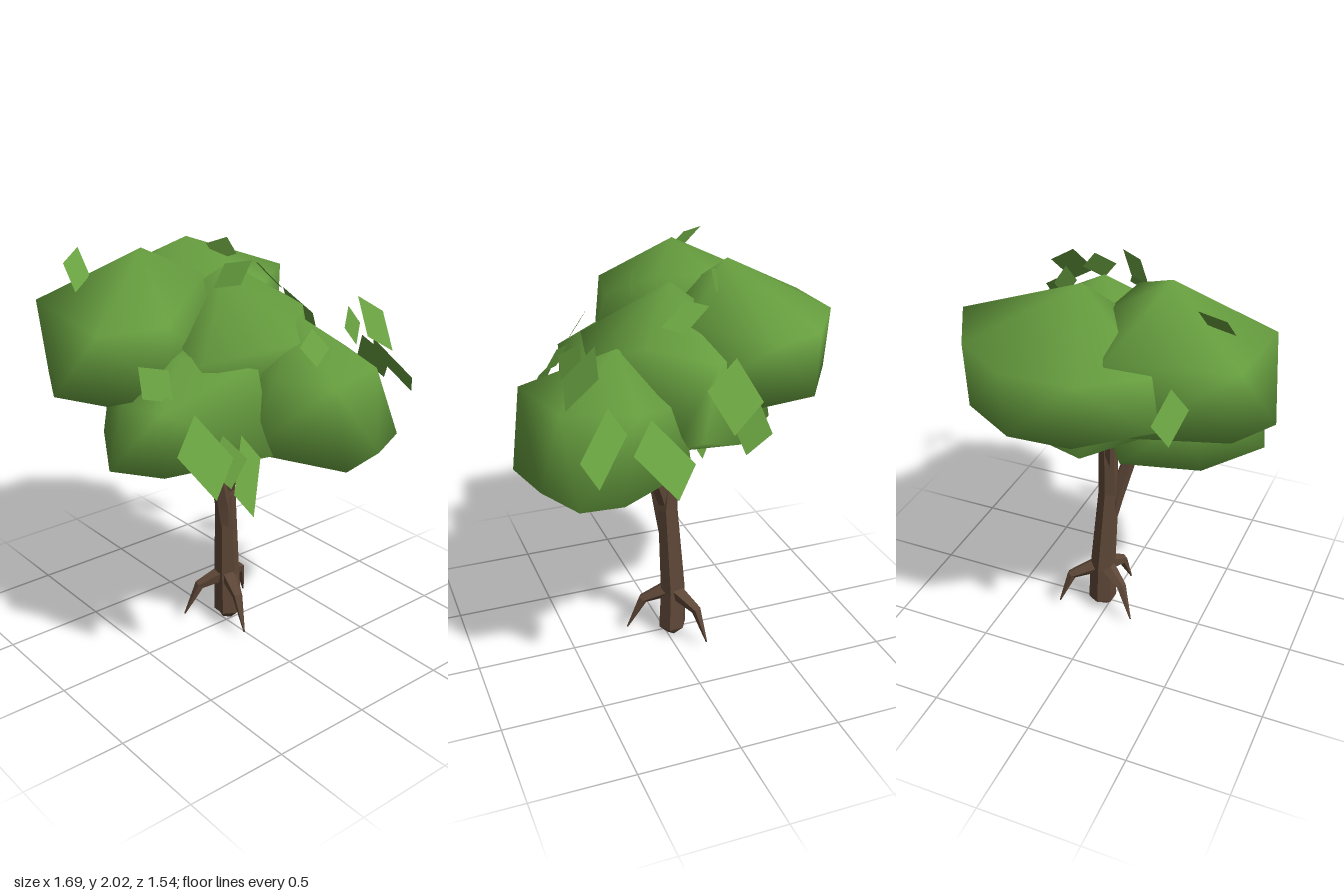
import * as THREE from 'three';
import { mergeVertices } from 'three/addons/utils/BufferGeometryUtils.js';
import { ConvexGeometry } from 'three/addons/geometries/ConvexGeometry.js';

// Angular foliage clump: hull of a few corners with smooth normals
function clump(name, points, material) {
  let geo = new ConvexGeometry(points.map(p => new THREE.Vector3(...p)));
  geo.deleteAttribute('normal');
  geo = mergeVertices(geo, 1e-4);
  geo.computeVertexNormals();
  const mesh = new THREE.Mesh(geo, material);
  mesh.name = name;
  return mesh;
}

// Tapered faceted limb through stations [x, y, z, radius]
function limb(name, stations, sides, material) {
  const centres = stations.map(s => new THREE.Vector3(s[0], s[1], s[2]));
  const up = new THREE.Vector3(0, 1, 0);
  const last = stations.length - 1;
  const rings = stations.map((s, i) => {
    const dir = centres[Math.min(i + 1, last)].clone().sub(centres[Math.max(i - 1, 0)]).normalize();
    const q = new THREE.Quaternion().setFromUnitVectors(up, dir);
    return Array.from({ length: sides }, (_, k) => {
      const a = (k / sides) * Math.PI * 2;
      return new THREE.Vector3(Math.sin(a) * s[3], 0, Math.cos(a) * s[3]).applyQuaternion(q).add(centres[i]);
    });
  });
  const tris = [];
  for (let k = 0; k < sides; k++) {
    const n = (k + 1) % sides;
    for (let i = 0; i < last; i++) {
      const a = rings[i][k], b = rings[i][n], c = rings[i + 1][n], d = rings[i + 1][k];
      tris.push(a, b, c, a, c, d);
    }
    tris.push(centres[0], rings[0][n], rings[0][k], centres[last], rings[last][k], rings[last][n]);
  }
  const geo = new THREE.BufferGeometry().setFromPoints(tris);
  geo.computeVertexNormals();
  const mesh = new THREE.Mesh(geo, material);
  mesh.name = name;
  return mesh;
}

// Loose leaf: flat rhombus from a centre and two half diagonals
function leaf(c, u, v, material) {
  const at = (d, s) => new THREE.Vector3(...c).addScaledVector(new THREE.Vector3(...d), s);
  const geo = new THREE.BufferGeometry().setFromPoints([at(u, 1), at(v, 1), at(u, -1), at(v, -1)]);
  geo.setIndex([0, 1, 2, 0, 2, 3]);
  geo.computeVertexNormals();
  const mesh = new THREE.Mesh(geo, material);
  mesh.name = 'leaf';
  return mesh;
}

export function createModel() {
  const bark = new THREE.MeshStandardMaterial({ color: 0x5f4838 });
  bark.name = 'bark brown';
  const green = new THREE.MeshStandardMaterial({ color: 0x68a040, side: THREE.DoubleSide });
  green.name = 'leaf green';
  const tree = new THREE.Group();
  tree.name = 'tree';

  // Trunk, branches and roots
  tree.add(limb('trunk', [[0.035, 0.005, -0.045, 0.045], [0.035, 0.035, -0.03, 0.073], [0.03, 0.25, -0.035, 0.066],
    [0.005, 0.72, -0.015, 0.052], [-0.005, 1.06, -0.05, 0.046], [-0.005, 1.1, -0.06, 0.056], [-0.005, 1.13, -0.06, 0.045]], 6, bark));
  const branches = [
    [[0.0, 0.52, -0.01, 0.03], [-0.025, 0.68, 0.0, 0.042], [-0.14, 1.09, 0.05, 0.03]],
    [[0.0, 0.7, -0.01, 0.025], [0.015, 0.82, 0.02, 0.04], [0.1, 1.12, 0.14, 0.03]],
    [[0.0, 0.8, -0.03, 0.02], [-0.03, 1.08, -0.09, 0.025]],
  ];
  branches.forEach(b => tree.add(limb('branch', b, 5, bark)));
  const roots = [
    [[0.02, 0.25, -0.01, 0.045], [-0.02, 0.19, 0.115, 0.027], [-0.04, 0.02, 0.195, 0.004]],
    [[0.05, 0.25, -0.04, 0.045], [0.18, 0.19, -0.11, 0.027], [0.235, 0.02, -0.145, 0.004]],
    [[0.01, 0.25, -0.04, 0.045], [-0.1, 0.19, -0.1, 0.027], [-0.17, 0.02, -0.14, 0.004]],
  ];
  roots.forEach(r => tree.add(limb('root', r, 5, bark)));

  // Foliage clumps: top, bottom, then upper and lower corners
  tree.add(clump('frontClump', [
    [0.2, 1.68, 0.3], [0.2, 0.97, 0.31],
    [0.02, 1.49, 0.715], [0.38, 1.48, 0.62], [0.5, 1.48, 0.3], [0.38, 1.45, 0.05], [0.0, 1.5, 0.08], [-0.11, 1.48, 0.47],
    [0.06, 1.1, 0.77], [0.33, 1.1, 0.71], [0.57, 1.1, 0.6], [0.585, 1.1, 0.4], [0.53, 1.2, 0.07], [0.15, 1.08, -0.03],
    [-0.18, 1.13, 0.38],
  ], green));
  tree.add(clump('lowerRightClump', [
    [-0.28, 1.62, 0.1], [-0.26, 0.96, 0.05],
    [-0.44, 1.59, 0.2], [-0.64, 1.42, 0.35], [-0.1, 1.53, 0.34], [-0.67, 1.4, 0.1], [-0.5, 1.4, -0.25], [-0.1, 1.4, -0.3],
    [0.1, 1.4, 0],
    [-0.63, 1.12, 0.35], [-0.12, 1.13, 0.48], [-0.75, 1.1, 0.1], [-0.55, 1.13, -0.25], [-0.19, 1.13, -0.34], [0.12, 1.1, 0.1],
  ], green));
  tree.add(clump('upperRightClump', [
    [-0.36, 2.0, -0.17], [-0.4, 1.38, -0.17],
    [-0.76, 1.77, -0.44], [-0.77, 1.72, 0.08], [-0.45, 1.72, 0.15], [-0.14, 1.88, 0.0], [-0.1, 1.86, -0.3], [-0.23, 1.79, -0.62],
    [-0.855, 1.4, -0.165], [-0.75, 1.41, 0.11], [-0.5, 1.43, 0.2], [-0.15, 1.45, 0.15], [0, 1.42, -0.2], [-0.28, 1.43, -0.58],
    [-0.73, 1.42, -0.42],
  ], green));
  tree.add(clump('backClump', [
    [0, 1.98, -0.31], [0.1, 1.37, -0.35],
    [0.6, 1.755, -0.3], [0.45, 1.73, -0.58], [0.18, 1.74, -0.77], [-0.16, 1.74, -0.76], [-0.42, 1.74, -0.56],
    [-0.25, 1.76, -0.15], [0.25, 1.78, -0.02],
    [0.52, 1.44, -0.27], [0.44, 1.42, -0.57], [0.15, 1.44, -0.765], [-0.14, 1.44, -0.75], [-0.46, 1.5, -0.58],
    [-0.35, 1.42, -0.2], [0.3, 1.42, 0.02],
  ], green));
  tree.add(clump('middleClump', [
    [0.02, 1.9, -0.02], [0.15, 1.19, -0.2],
    [-0.38, 1.62, 0.17], [-0.38, 1.57, 0.3], [0.1, 1.6, 0.41], [0.3, 1.7, 0.2], [0.47, 1.65, -0.08], [0.2, 1.6, -0.4],
    [-0.25, 1.6, -0.35],
    [0.5, 1.3, 0], [0.45, 1.24, -0.2], [0.22, 1.25, -0.45], [-0.08, 1.25, -0.54], [-0.3, 1.3, -0.35], [-0.3, 1.3, 0.2],
    [0.1, 1.25, 0.35], [0.47, 1.27, 0.13],
  ], green));

  // Leaves hanging clear of the clumps
  const hanging = [
    [[0.73, 1.37, 0.27], [0.11, -0.14, -0.02], [-0.02, 0.03, 0.13]],
    [[0.62, 1.41, 0.5], [0.09, -0.14, 0.05], [-0.02, 0.04, -0.11]],
    [[0.44, 1.66, 0.54], [0.04, -0.12, 0.08], [0.1, 0.03, -0.05]],
    [[0.58, 1.54, -0.11], [0.09, -0.14, 0.04], [-0.03, 0.03, 0.12]],
    [[0.56, 1.38, -0.2], [0.02, -0.13, 0.03], [0.01, 0.06, 0.11]],
    [[-0.52, 1.24, 0.5], [0.02, 0.16, -0.1], [0.12, -0.02, 0.04]],
    [[-0.41, 1.19, 0.51], [0.01, 0.11, -0.04], [0.08, 0.01, 0.04]],
    [[-0.32, 1.11, 0.54], [-0.03, -0.16, 0.08], [0.1, 0.05, -0.03]],
  ];
  // Leaves lying on or near the clumps
  const resting = [
    [[-0.07, 1.89, 0.13], [0.08, 0.06, 0.04], [0.03, -0.05, 0.02]],
    [[0.06, 1.62, 0.54], [-0.03, -0.07, 0.05], [0.07, -0.01, 0.02]],
    [[0.29, 1.68, 0.54], [0.01, 0.08, -0.04], [0.08, -0.01, -0.03]],
    [[0.13, 1.92, -0.2], [0.07, -0.03, 0.03], [0.01, 0.06, 0.03]],
    [[0.26, 1.81, 0], [0.01, 0.04, -0.11], [0.05, -0.06, 0.02]],
    [[-0.61, 1.91, -0.32], [0.06, 0.08, -0.08], [0.05, -0.03, 0.03]],
    [[-0.52, 1.6, -0.61], [0.02, 0.1, 0.06], [0.06, -0.02, -0.06]],
    [[-0.6, 1.52, 0.26], [-0.07, -0.05, 0], [0.04, -0.07, 0.07]],
    [[0.12, 1.12, -0.15], [0.03, -0.08, 0.01], [0.06, 0.02, 0.07]],
  ];
  [...hanging, ...resting].forEach(([c, u, v]) => tree.add(leaf(c, u, v, green)));
  return tree;
}
